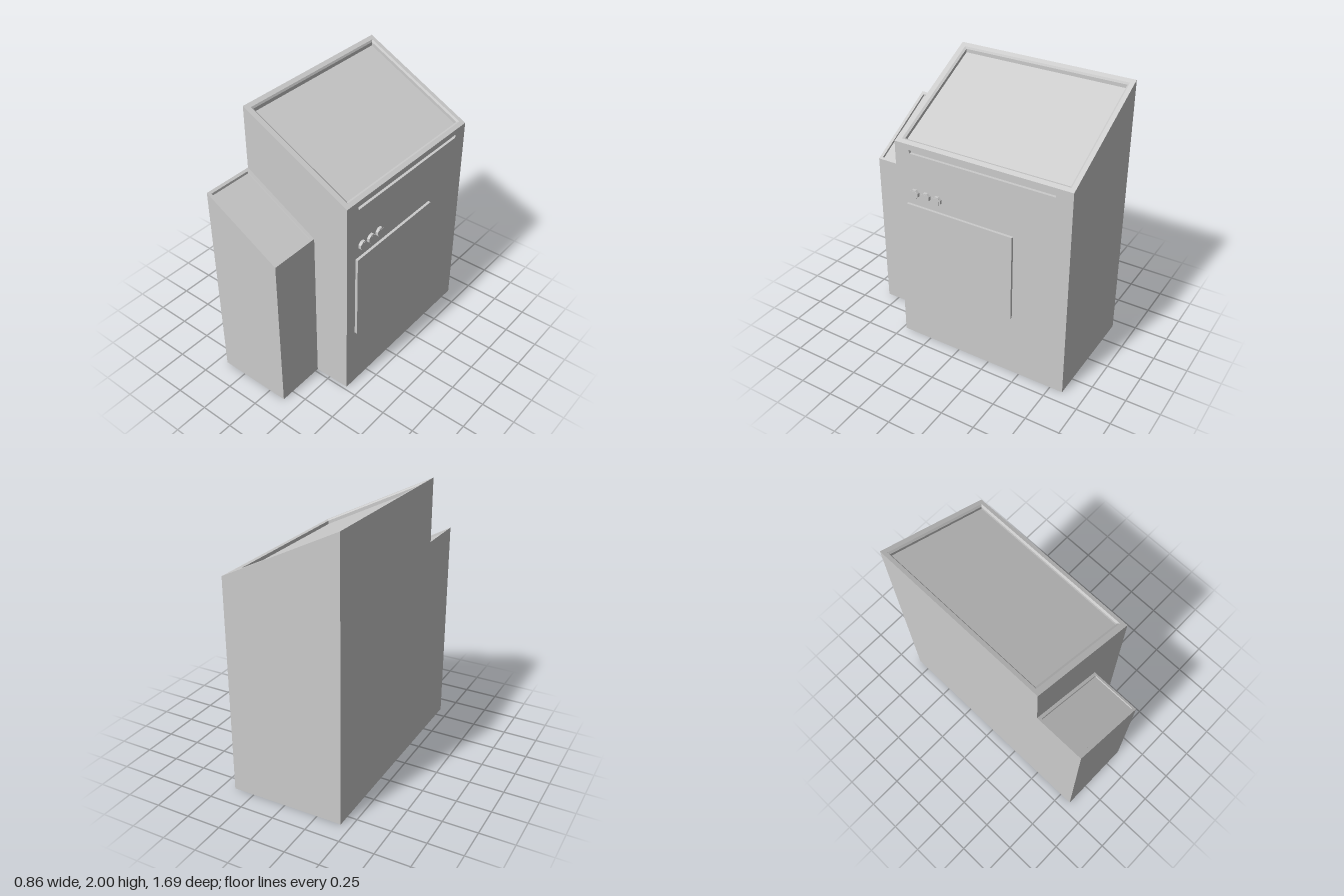
import * as THREE from 'three';

const material = new THREE.MeshStandardMaterial({ color: 0xcccccc, flatShading: true });

function part(name, geometry, x = 0, y = 0, z = 0) {
  const mesh = new THREE.Mesh(geometry, material);
  mesh.name = name;
  mesh.position.set(x, y, z);
  return mesh;
}

// Skins four-cornered loops in order and caps the last one.
// Loops run counterclockwise seen from the capped end.
function loft(loops, { closeStart = false, skip = () => false } = {}) {
  const pos = [];
  const quad = (a, b, c, d) => pos.push(...a, ...b, ...c, ...a, ...c, ...d);
  for (let k = 0; k < loops.length - 1; k++) {
    const A = loops[k], B = loops[k + 1];
    for (let i = 0; i < 4; i++) {
      const j = (i + 1) % 4;
      if (!skip(k, i)) quad(A[i], A[j], B[j], B[i]);
    }
  }
  quad(...loops[loops.length - 1]);
  if (closeStart) quad(...[...loops[0]].reverse());
  const g = new THREE.BufferGeometry();
  g.setAttribute('position', new THREE.Float32BufferAttribute(pos, 3));
  g.computeVertexNormals();
  return g;
}

// Rectangle in plan, lifted to the height given by yAt(x)
const planLoop = (x0, x1, z0, z1, yAt) =>
  [[x0, z1], [x1, z1], [x1, z0], [x0, z0]].map(([x, z]) => [x, yAt(x), z]);

const slope = (x0, y0, x1, y1) => (x) => y0 + (y1 - y0) * (x - x0) / (x1 - x0);

export function createModel() {
  const model = new THREE.Group();
  model.name = 'cabinet';

  // Main cabinet with a slanted top and a bevelled, sunken tray
  const top = slope(-0.43, 2, 0.405, 1.58);
  const lowered = (d) => (x) => top(x) - d;
  model.add(part('mainCabinet', loft([
    planLoop(-0.43, 0.405, -0.845, 0.475, () => 0),
    planLoop(-0.43, 0.405, -0.845, 0.475, top),
    planLoop(-0.40, 0.376, -0.813, 0.435, top),
    planLoop(-0.393, 0.36, -0.80, 0.42, lowered(0.011)),
    planLoop(-0.393, 0.36, -0.80, 0.42, lowered(0.036)),
  ], { closeStart: true, skip: (k, i) => k === 0 && i === 1 })));

  // Side panel of the main cabinet with a long sunken slot
  const slot = (x) => [[x, 1.515, 0.358], [x, 1.515, -0.725], [x, 1.54, -0.73], [x, 1.54, 0.365]];
  model.add(part('slottedSide', loft([
    [[0.405, 0, 0.475], [0.405, 0, -0.845], [0.405, 1.58, -0.845], [0.405, 1.58, 0.475]],
    slot(0.405),
    slot(0.385),
  ])));

  // Smaller cabinet at the front, with its own shallow tray
  const smallTop = slope(-0.43, 1.54, 0.133, 1.222);
  model.add(part('smallCabinet', loft([
    planLoop(-0.43, 0.133, 0.475, 0.845, () => 0),
    planLoop(-0.43, 0.133, 0.475, 0.845, smallTop),
    planLoop(-0.412, 0.117, 0.497, 0.822, smallTop),
    planLoop(-0.410, 0.113, 0.499, 0.820, (x) => smallTop(x) - 0.015),
  ], { closeStart: true })));

  // Raised door
  model.add(part('door', new THREE.BoxGeometry(0.03, 0.655, 0.825), 0.41, 0.807, -0.025));

  // Three octagonal buttons with square faces
  for (const z of [0.325, 0.235, 0.145]) {
    const button = new THREE.Group();
    button.name = 'button';
    const base = new THREE.CylinderGeometry(0.035, 0.035, 0.03, 8);
    base.rotateY(Math.PI / 8);
    base.rotateZ(-Math.PI / 2);
    button.add(part('buttonBase', base));
    button.add(part('buttonFace', new THREE.BoxGeometry(0.004, 0.048, 0.048), 0.015));
    button.position.set(0.41, 1.223, z);
    model.add(button);
  }
  return model;
}
